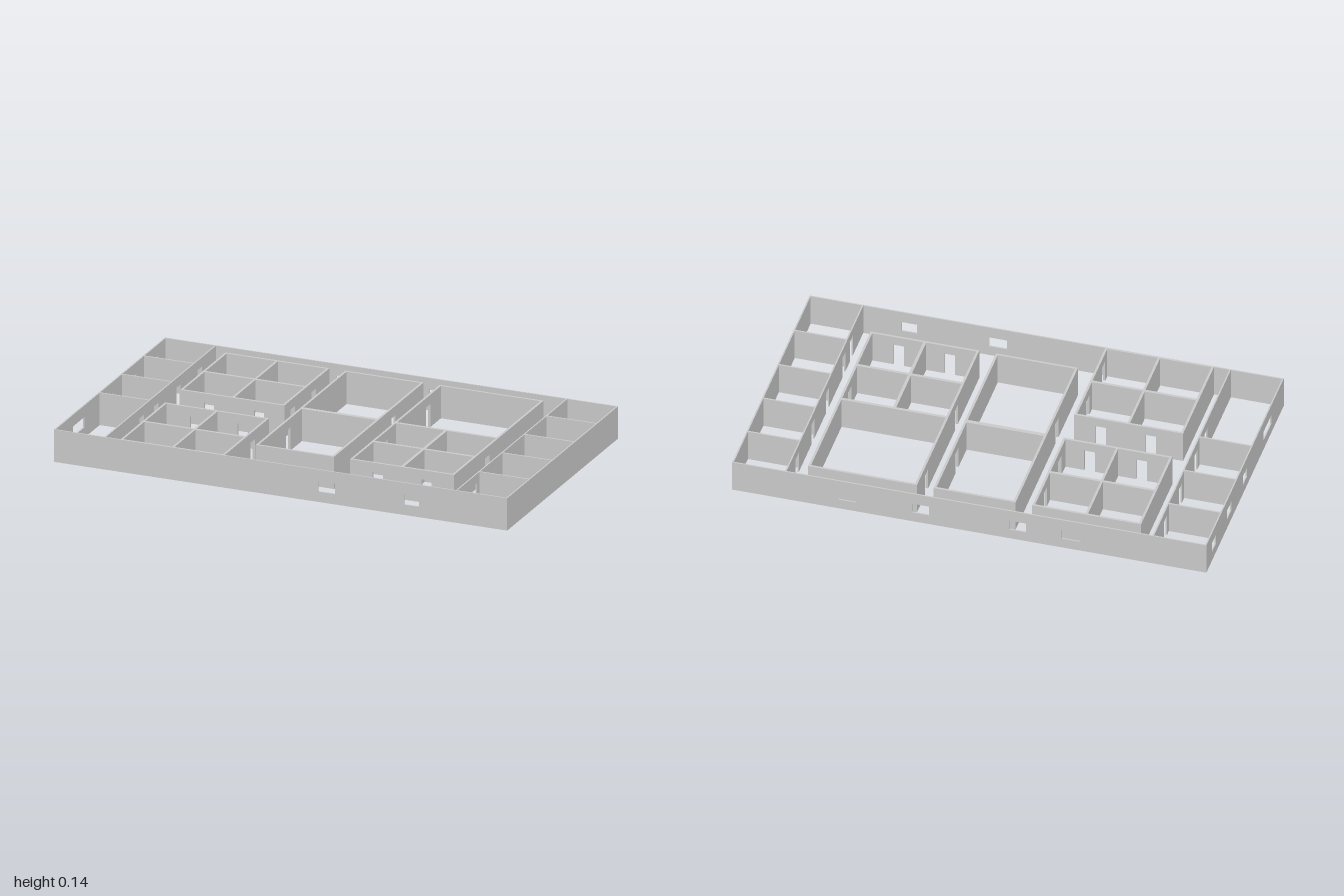
import * as THREE from 'three';

const H = 0.14, DOOR_H = 0.1, DOOR_W = 0.045;
const X = 1, Z = 0.573;
const mat = new THREE.MeshStandardMaterial({ color: 0xcccccc, flatShading: true, side: THREE.DoubleSide });

// Upright wall from a to b along one axis, at position c on the other axis.
// doors: centres of floor-level gaps; windows: [centre, width] pairs.
function wall(parent, name, axis, a, b, c, { t = 0.01, doors = [], windows = [] } = {}) {
  const s = new THREE.Shape();
  s.moveTo(a, 0);
  for (const d of [...doors].sort((p, q) => p - q)) {
    s.lineTo(d - DOOR_W / 2, 0);
    s.lineTo(d - DOOR_W / 2, DOOR_H);
    s.lineTo(d + DOOR_W / 2, DOOR_H);
    s.lineTo(d + DOOR_W / 2, 0);
  }
  s.lineTo(b, 0);
  s.lineTo(b, H);
  s.lineTo(a, H);
  s.closePath();
  for (const [m, w] of windows) {
    const h = new THREE.Path();
    h.moveTo(m - w / 2, 0.045);
    h.lineTo(m - w / 2, 0.09);
    h.lineTo(m + w / 2, 0.09);
    h.lineTo(m + w / 2, 0.045);
    h.closePath();
    s.holes.push(h);
  }
  const g = new THREE.ExtrudeGeometry(s, { depth: t, bevelEnabled: false });
  g.translate(0, 0, -t / 2);
  if (axis === 'z') g.rotateY(-Math.PI / 2);
  g.translate(axis === 'z' ? c : 0, 0, axis === 'x' ? c : 0);
  const m = new THREE.Mesh(g, mat);
  m.name = name;
  parent.add(m);
}

// Four walls round a rectangular block, with openings given per side
function block(root, name, x0, x1, z0, z1, open = {}) {
  const g = new THREE.Group();
  g.name = name;
  const e = 0.005;
  wall(g, 'blockBackWall', 'x', x0, x1, z0 + e, open.back);
  wall(g, 'blockFrontWall', 'x', x0, x1, z1 - e, open.front);
  wall(g, 'blockRightWall', 'z', z0, z1, x0 + e, open.right);
  wall(g, 'blockLeftWall', 'z', z0, z1, x1 - e, open.left);
  root.add(g);
  return g;
}

export function createModel() {
  const root = new THREE.Group();
  root.name = 'floorPlan';

  // Outer shell with windows
  const shell = new THREE.Group();
  shell.name = 'outerWalls';
  root.add(shell);
  const t = 0.006;
  wall(shell, 'frontWall', 'x', -X, X, Z - t / 2, { t, windows: [[0.203, 0.075], [0.578, 0.065]] });
  wall(shell, 'backWall', 'x', -X, X, -Z + t / 2, {
    t, windows: [[0.515, 0.075], [0.205, 0.07], [-0.205, 0.07], [-0.43, 0.08]],
  });
  wall(shell, 'leftWall', 'z', -Z, Z, X - t / 2, { t });
  wall(shell, 'rightWall', 'z', -Z, Z, -X + t / 2, {
    t, windows: [[-0.46, 0.06], [-0.235, 0.06], [0, 0.06], [0.33, 0.12]],
  });

  // Rows of rooms along the two ends
  const ends = [
    { side: -1, name: 'rightEndRooms', cuts: [-0.347, -0.12, 0.11], doors: [-0.4, -0.18, 0.05, 0.2] },
    { side: 1, name: 'leftEndRooms', cuts: [-0.358, -0.13, 0.1, 0.335], doors: [-0.41, -0.18, 0.04, 0.28, 0.39] },
  ];
  for (const { side, name, cuts, doors } of ends) {
    const g = new THREE.Group();
    g.name = name;
    root.add(g);
    wall(g, 'corridorWall', 'z', -Z, Z, side * 0.775, { t, doors });
    for (const z of cuts) wall(g, 'divider', 'x', Math.min(side, side * 0.775), Math.max(side, side * 0.775), z, { t: 0.007 });
  }

  // Two blocks of four rooms
  for (const [name, z0, z1, open] of [
    ['backFourRooms', -0.512, -0.047, { front: { doors: [-0.58, -0.36] }, left: { doors: [-0.35, -0.135] } }],
    ['frontFourRooms', 0.11, Z, { back: { doors: [-0.57, -0.36] }, left: { doors: [0.28, 0.51] } }],
  ]) {
    const g = block(root, name, -0.707, -0.248, z0, z1, open);
    wall(g, 'crossWallAlong', 'x', -0.707, -0.248, (z0 + z1) / 2, { t: 0.012 });
    wall(g, 'crossWallAcross', 'z', z0, z1, -0.476, { t: 0.01 });
  }

  // Two halls in the middle
  const halls = block(root, 'middleHalls', -0.178, 0.168, -0.512, 0.412, {
    left: { doors: [-0.2] }, right: { doors: [0.1] },
  });
  wall(halls, 'hallDivider', 'x', -0.178, 0.168, -0.05, { t: 0.018 });

  // One hall with four small rooms in front of it
  const mixed = block(root, 'hallAndRooms', 0.238, 0.697, -0.512, 0.412, {
    right: { doors: [-0.37, 0.07] }, left: { doors: [0.07] }, front: { doors: [0.36, 0.575] },
  });
  wall(mixed, 'hallDivider', 'x', 0.238, 0.697, -0.047, { t: 0.013 });
  wall(mixed, 'roomDividerAlong', 'x', 0.238, 0.697, 0.185, { t: 0.013 });
  wall(mixed, 'roomDividerAcross', 'z', -0.047, 0.412, 0.466, { t: 0.013 });

  return root;
}
